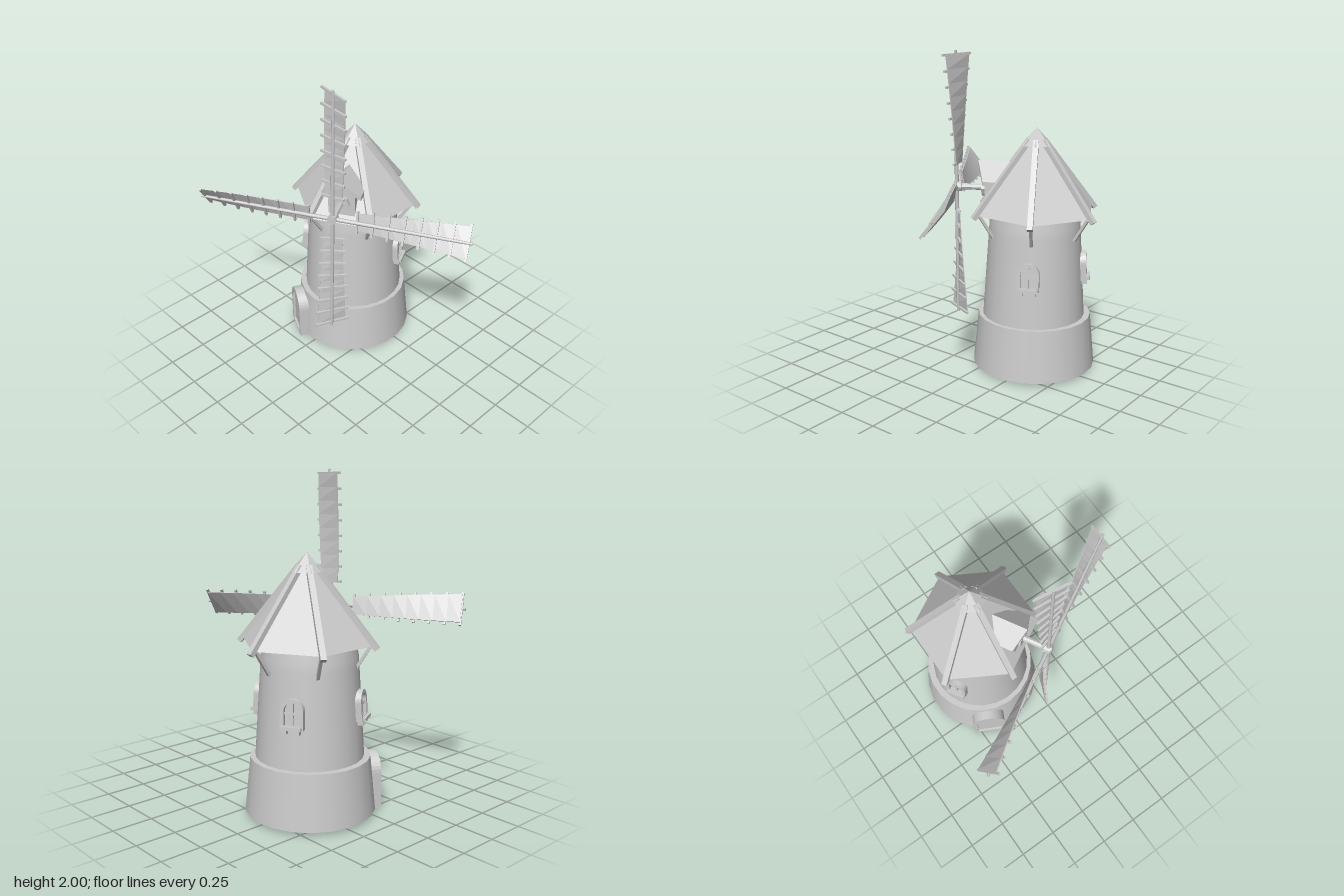
import * as THREE from 'three';

const smooth = new THREE.MeshStandardMaterial({ color: 0xcccccc, side: THREE.DoubleSide });
const flat = new THREE.MeshStandardMaterial({ color: 0xcccccc, flatShading: true, side: THREE.DoubleSide });
const rad = THREE.MathUtils.degToRad;

function add(parent, name, geo, mat = flat, x = 0, y = 0, z = 0) {
  const m = new THREE.Mesh(geo, mat);
  m.name = name;
  m.position.set(x, y, z);
  parent.add(m);
  return m;
}
function group(parent, name, x = 0, y = 0, z = 0) {
  const g = new THREE.Group();
  g.name = name;
  g.position.set(x, y, z);
  parent.add(g);
  return g;
}
const box = (w, h, d) => new THREE.BoxGeometry(w, h, d);
const extrude = (shape, depth) =>
  new THREE.ExtrudeGeometry(shape, { depth, bevelEnabled: false, curveSegments: 8 });
const polygon = (pts) => new THREE.Shape(pts.map((p) => new THREE.Vector2(...p)));

// Round-topped outline standing on y0
function arch(w, h, y0 = 0, Type = THREE.Shape) {
  const s = new Type(), r = w / 2;
  s.moveTo(-r, y0);
  s.lineTo(r, y0);
  s.lineTo(r, h - r);
  s.absarc(0, h - r, r, 0, Math.PI, false);
  s.lineTo(-r, y0);
  return s;
}
function archFrame(w, h, t, bottom, depth) {
  const s = arch(w, h);
  s.holes.push(arch(w - 2 * t, h - t, bottom, THREE.Path));
  return extrude(s, depth);
}
// Square bar between two points (r, y) in the local yz plane
function bar(parent, name, r0, y0, r1, y1, w, t) {
  const m = add(parent, name, box(w, t, Math.hypot(r1 - r0, y1 - y0)), flat, 0, (y0 + y1) / 2, (r0 + r1) / 2);
  m.rotation.x = -Math.atan2(y1 - y0, r1 - r0);
  return m;
}

function buildWindow(tower, angle) {
  const pivot = group(tower, 'window');
  pivot.rotation.y = rad(angle);
  const w = group(pivot, 'windowBody', 0, 0.59, 0.285);
  w.rotation.x = -0.06;
  add(w, 'windowFrame', archFrame(0.135, 0.175, 0.022, 0.022, 0.05));
  add(w, 'windowPane', extrude(arch(0.1, 0.16), 0.026));
  add(w, 'mullion', box(0.012, 0.15, 0.014), flat, 0, 0.085, 0.033);
  add(w, 'crossbar', box(0.1, 0.012, 0.014), flat, 0, 0.09, 0.033);
  add(w, 'windowSill', box(0.12, 0.018, 0.05), flat, 0, 0.01, 0.045);
  for (const s of [-1, 1]) add(w, 'sillBracket', box(0.018, 0.03, 0.035), flat, s * 0.038, -0.012, 0.035);
}

// Twisted, widening sail with ribs on its front
const sailWidth = (t) => 0.11 + 0.08 * t;
const sailTwist = (t) => rad(10 + 28 * t);
const sailRadius = (t) => 0.15 + 0.665 * t;
function buildSail(wheel, k) {
  const sail = group(wheel, 'sail');
  sail.rotation.z = k * Math.PI / 2;
  const geo = new THREE.BoxGeometry(1, 1, 0.006, 1, 8, 1);
  const p = geo.attributes.position;
  for (let i = 0; i < p.count; i++) {
    const t = p.getY(i) + 0.5, a = sailTwist(t), x = p.getX(i) * sailWidth(t), z = p.getZ(i) - 0.01;
    p.setXYZ(i, x * Math.cos(a) - z * Math.sin(a), sailRadius(t), x * Math.sin(a) + z * Math.cos(a));
  }
  geo.computeVertexNormals();
  add(sail, 'sailCloth', geo);
  for (let i = 0; i < 8; i++) {
    const t = i / 7;
    const rib = add(sail, 'sailRib', box(sailWidth(t) + 0.035, 0.014, 0.014), flat, 0, sailRadius(t), 0);
    rib.rotation.y = -sailTwist(t);
  }
  add(sail, 'sailPole', new THREE.CylinderGeometry(0.009, 0.013, 0.84, 8), smooth, 0, 0.42, 0.006);
}

export function createModel() {
  const model = new THREE.Group();
  model.name = 'windmill';

  // Stone base and tapered tower
  add(model, 'base', new THREE.CylinderGeometry(0.357, 0.389, 0.33, 22), smooth, -0.262, 0.185, -0.21);
  const tower = group(model, 'tower', -0.255, 0, -0.208);
  const profile = [[0.324, 0.33], [0.304, 0.65], [0.288, 0.9], [0.285, 0.95], [0.275, 1.0], [0.268, 1.06]];
  add(tower, 'towerWall', new THREE.LatheGeometry(profile.map((q) => new THREE.Vector2(...q)), 24), smooth);
  add(tower, 'towerTop', new THREE.CylinderGeometry(0.27, 0.27, 0.01, 24), smooth, 0, 1.055, 0);
  for (const a of [-60, 118, 210]) buildWindow(tower, a);

  // Arched door
  const doorPivot = group(tower, 'door');
  doorPivot.rotation.y = rad(-27);
  add(doorPivot, 'doorFrame', archFrame(0.215, 0.33, 0.026, 0.012, 0.115), flat, 0, 0, 0.3);
  add(doorPivot, 'doorPanel', extrude(arch(0.17, 0.31), 0.1), flat, 0, 0.005, 0.3);

  // Six-sided roof with cap, ridge beams and braces
  const roof = group(model, 'roof', -0.245, 0, -0.22);
  add(roof, 'roofPanels', new THREE.CylinderGeometry(0.001, 0.395, 0.495, 6, 1, true), flat, 0, 1.2725, 0);
  add(roof, 'roofCap', new THREE.ConeGeometry(0.1, 0.11, 6), flat, 0, 1.49, 0);
  for (let i = 0; i < 6; i++) {
    const corner = group(roof, 'roofCorner');
    corner.rotation.y = i * Math.PI / 3;
    bar(corner, 'ridgeBeam', 0.05, 1.467, 0.418, 1.007, 0.034, 0.03);
    bar(corner, 'brace', 0.285, 0.875, 0.385, 1.035, 0.018, 0.018);
  }

  // Dormer facing the sails
  const head = group(roof, 'head');
  head.rotation.y = Math.PI / 6;
  add(head, 'dormerBody', extrude(polygon([[-0.085, 1.05], [0.085, 1.05], [0.085, 1.225], [0, 1.305], [-0.085, 1.225]]), 0.21),
    flat, 0, 0, 0.1);
  const gable = extrude(polygon([[-0.125, 1.195], [0, 1.305], [0.125, 1.195], [0.125, 1.22], [0, 1.33], [-0.125, 1.22]]), 0.23);
  const gp = gable.attributes.position;
  for (let i = 0; i < gp.count; i++) if (gp.getZ(i) > 0.1) gp.setZ(i, gp.getZ(i) - 0.35 * Math.abs(gp.getX(i)));
  gable.computeVertexNormals();
  add(head, 'dormerRoof', gable, flat, 0, 0, 0.13);

  // Axle, collar and hub
  const axleParts = [['collar', 0.055, 0.3, 0.335, 8], ['axle', 0.02, 0.3, 0.52, 8], ['hub', 0.032, 0.465, 0.515, 8]];
  for (const [name, r, z0, z1, n] of axleParts) {
    const m = add(head, name, new THREE.CylinderGeometry(r, r, z1 - z0, n), flat, 0, 1.161, (z0 + z1) / 2);
    m.rotation.x = Math.PI / 2;
  }

  // Four sails
  const wheel = group(head, 'sailWheel', 0, 1.161, 0.49);
  wheel.rotation.z = -0.021;
  for (let k = 0; k < 4; k++) buildSail(wheel, k);

  return model;
}
